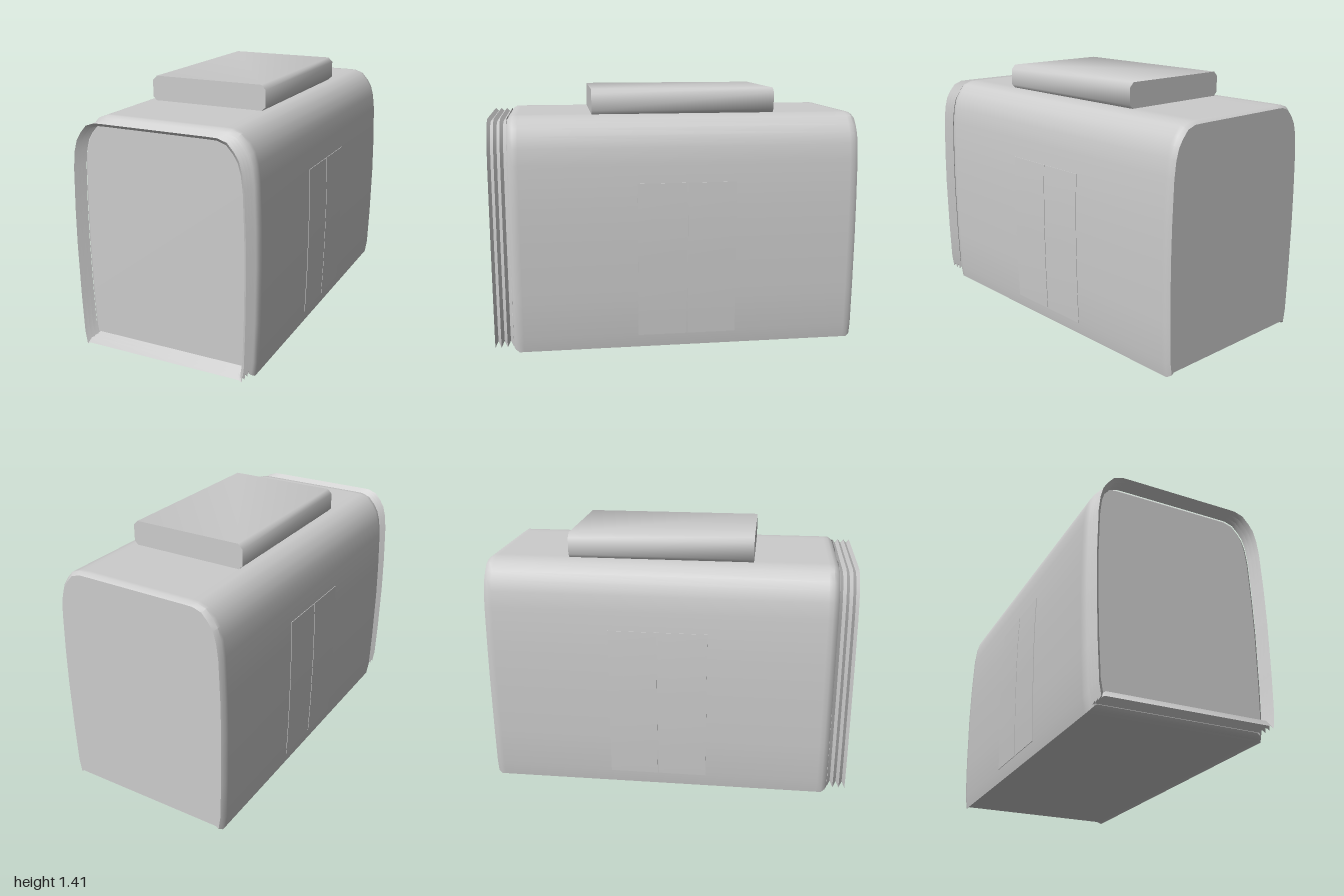
import * as THREE from 'three';
import { toCreasedNormals } from 'three/addons/utils/BufferGeometryUtils.js';

const TOP = 1.28;

// Right half of the carriage cross-section, from floor edge up to the roof
const half = [
  [0.46, 0.014], [0.475, 0.003], [0.487, 0.08], [0.495, 0.3], [0.5, 0.6], [0.498, 0.8],
  [0.49, 1.03], [0.479, 1.12], [0.462, 1.18], [0.437, 1.22], [0.4, 1.262], [0.35, 1.279], [0.3, TOP],
];
const profile = [...half, ...half.slice().reverse().map(([x, y]) => [-x, y])];

// Cross-section shrunk by an inset about a centre height
function section(inset, centre) {
  const sx = 1 - inset / 0.5;
  const sy = 1 - inset / (TOP - centre);
  return profile.map(([x, y]) => [x * sx, centre + (y - centre) * sy]);
}

// Skin through rings given as [z, inset]
function loft(rings, centre, crease) {
  const n = profile.length;
  const pos = [];
  const idx = [];
  rings.forEach(([z, inset], r) => {
    section(inset, centre).forEach(([x, y]) => pos.push(x, y, z));
    if (r === 0) return;
    for (let i = 0; i < n; i++) {
      const j = (i + 1) % n;
      const a = (r - 1) * n + i, b = (r - 1) * n + j, c = r * n + j, d = r * n + i;
      idx.push(a, b, c, a, c, d);
    }
  });
  const g = new THREE.BufferGeometry();
  g.setAttribute('position', new THREE.Float32BufferAttribute(pos, 3));
  g.setIndex(idx);
  return toCreasedNormals(g, crease);
}

function capGeometry(inset, centre) {
  return new THREE.ShapeGeometry(new THREE.Shape(section(inset, centre).map(([x, y]) => new THREE.Vector2(x, y))));
}

// Half-width of the side wall at a height
function wallX(y) {
  for (let i = 2; i < half.length; i++) {
    const [x0, y0] = half[i - 1], [x1, y1] = half[i];
    if (y <= y1) return x0 + (x1 - x0) * (y - y0) / (y1 - y0);
  }
  return 0;
}

// Thin door leaf that follows the bulge of the wall
function leafGeometry(z0, z1, y0, y1) {
  const g = new THREE.BoxGeometry(0.006, y1 - y0, z1 - z0, 1, 12, 1);
  g.translate(0, (y0 + y1) / 2, (z0 + z1) / 2);
  const p = g.attributes.position;
  for (let i = 0; i < p.count; i++) p.setX(i, p.getX(i) + wallX(p.getY(i)));
  return toCreasedNormals(g, 0.6);
}

export function createModel() {
  const group = new THREE.Group();
  const grey = new THREE.MeshStandardMaterial({ color: 0xcccccc });
  grey.name = 'light grey';
  const greyOpen = new THREE.MeshStandardMaterial({ color: 0xcccccc, side: THREE.DoubleSide });
  greyOpen.name = 'light grey open';

  const add = (name, geometry, material = grey) => {
    const mesh = new THREE.Mesh(geometry, material);
    mesh.name = name;
    group.add(mesh);
    return mesh;
  };

  // Carriage body with softened ends
  const mid = 0.64;
  add('carriageBody', loft([
    [-1, 0.014], [-0.978, 0], [-0.955, 0], [0.845, 0], [0.87, 0], [0.89, 0.012], [0.9, 0.025],
  ], mid, 0.7));
  const back = add('backWall', capGeometry(0.014, mid));
  back.rotation.y = Math.PI;
  back.position.z = -1;
  add('frontBulkhead', capGeometry(0.025, mid)).position.z = 0.9;

  // Open folded gangway at the front
  const folds = [];
  for (let i = 0; i <= 6; i++) folds.push([0.9 + i / 60, i % 2 ? 0.03 : 0.014]);
  add('gangwayBellows', loft(folds, 0.85, 0.6), greyOpen);

  // Roof unit with bevelled long edges
  const w = 0.335, y0 = TOP - 0.005, y1 = 1.415, b = 0.025;
  const roof = new THREE.Shape([
    [-w + b, y0], [w - b, y0], [w, y0 + b], [w, y1 - b], [w - b, y1], [-w + b, y1], [-w, y1 - b], [-w, y0 + b],
  ].map(([x, y]) => new THREE.Vector2(x, y)));
  const roofGeometry = new THREE.ExtrudeGeometry(roof, { depth: 1.005, bevelEnabled: false });
  roofGeometry.translate(0, 0, -0.555);
  add('roofUnit', toCreasedNormals(roofGeometry, 0.9));

  // Pair of door leaves on each side
  for (const [z0, z1] of [[-0.32, -0.053], [-0.047, 0.22]]) {
    const leaf = leafGeometry(z0, z1, 0.075, 0.925);
    add('leftDoorLeaf', leaf);
    // Half turn mirrors the leaf to the other side; shift keeps the same z
    const other = add('rightDoorLeaf', leaf);
    other.rotation.y = Math.PI;
    other.position.z = z0 + z1;
  }
  return group;
}
